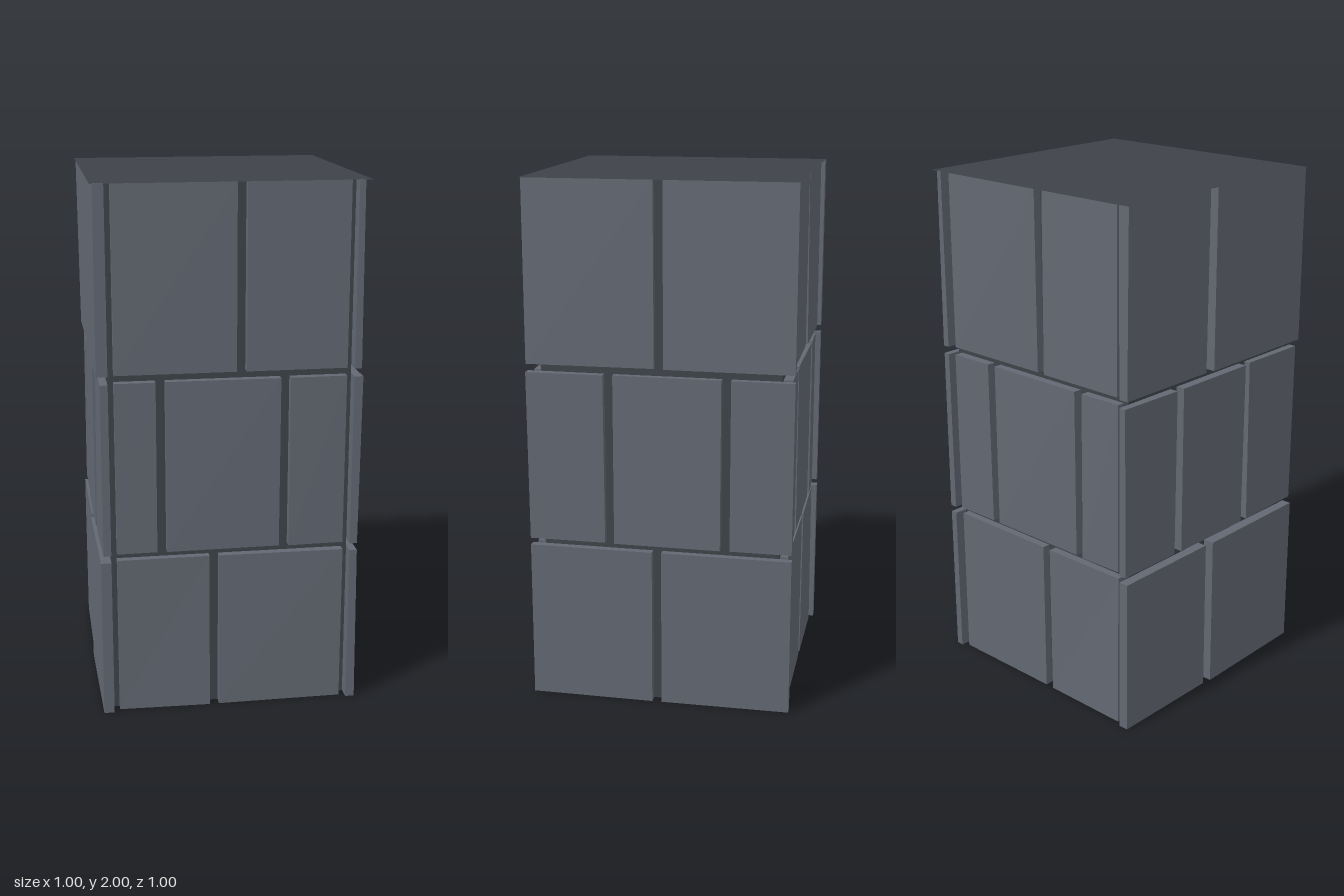
import * as THREE from 'three';

export function createModel() {
  const model = new THREE.Group();
  const stone = new THREE.MeshStandardMaterial({ color: 0x626872, flatShading: true });
  stone.name = 'slate stone';
  const mortar = new THREE.MeshStandardMaterial({ color: 0x3e4349, flatShading: true, side: THREE.DoubleSide });
  mortar.name = 'dark mortar';

  // Small seeded jitter for hand-cut stone faces
  let seed = 7;
  const jitter = (amount) => {
    seed = (seed * 16807) % 2147483647;
    return (seed / 2147483647 - 0.5) * 2 * amount;
  };

  // Hollow mortar core, open at the bottom
  const core = new THREE.Mesh(
    new THREE.CylinderGeometry(0.45 * Math.SQRT2, 0.45 * Math.SQRT2, 2, 4, 1, true), mortar);
  core.geometry.rotateY(Math.PI / 4);
  core.position.y = 1;
  core.name = 'mortarCore';
  model.add(core);

  // Flat sheet closing the top
  const top = new THREE.Mesh(new THREE.PlaneGeometry(1, 1).rotateX(-Math.PI / 2), mortar);
  top.position.y = 2;
  top.name = 'topSheet';
  model.add(top);

  // Each stone is a thin slab whose outer corners lean in or out slightly
  const INNER = 0.451;
  function makeStone(u0, u1, y0, y1, outer) {
    const geo = new THREE.BoxGeometry(u1 - u0, y1 - y0, outer - INNER);
    geo.translate((u0 + u1) / 2, (y0 + y1) / 2, (outer + INNER) / 2);
    const p = geo.attributes.position;
    const lean = [0, 1, 2, 3].map(() => jitter(0.005));
    for (let i = 0; i < p.count; i++) {
      if (p.getZ(i) < (outer + INNER) / 2) continue;
      const corner = (p.getX(i) > (u0 + u1) / 2 ? 1 : 0) + (p.getY(i) > (y0 + y1) / 2 ? 2 : 0);
      p.setZ(i, p.getZ(i) + lean[corner]);
    }
    geo.computeVertexNormals();
    return new THREE.Mesh(geo, stone);
  }

  // Rows from the ground up; joints run along each wall, left to right from outside
  const rows = [[0, 0.61], [0.637, 1.288], [1.318, 1.999]];
  const walls = [
    { name: 'front', turn: 0, half: 0.428, outer: [0.483, 0.483, 0.483], joints: [[-0.064], [-0.26, 0.2], [0.036]] },
    { name: 'plusX', turn: Math.PI / 2, half: 0.5, outer: [0.481, 0.48, 0.474], joints: [[-0.01], [-0.19, 0.25], [0]] },
    { name: 'back', turn: Math.PI, half: 0.428, outer: [0.483, 0.483, 0.483], joints: [[0.055], [-0.225, 0.235], [0.045]] },
    { name: 'minusX', turn: -Math.PI / 2, half: 0.5, outer: [0.493, 0.482, 0.493], joints: [[-0.03], [-0.21, 0.19], [-0.05]] },
  ];
  const GAP = 0.018;
  for (const wall of walls) {
    const group = new THREE.Group();
    group.name = wall.name + 'Stones';
    group.rotation.y = wall.turn;
    rows.forEach(([y0, y1], r) => {
      const edges = [-wall.half - GAP, ...wall.joints[r], wall.half + GAP];
      for (let i = 0; i < edges.length - 1; i++) {
        const block = makeStone(edges[i] + GAP, edges[i + 1] - GAP, y0, y1, wall.outer[r]);
        block.name = `${wall.name}StoneRow${r + 1}No${i + 1}`;
        group.add(block);
      }
    });
    model.add(group);
  }
  return model;
}
